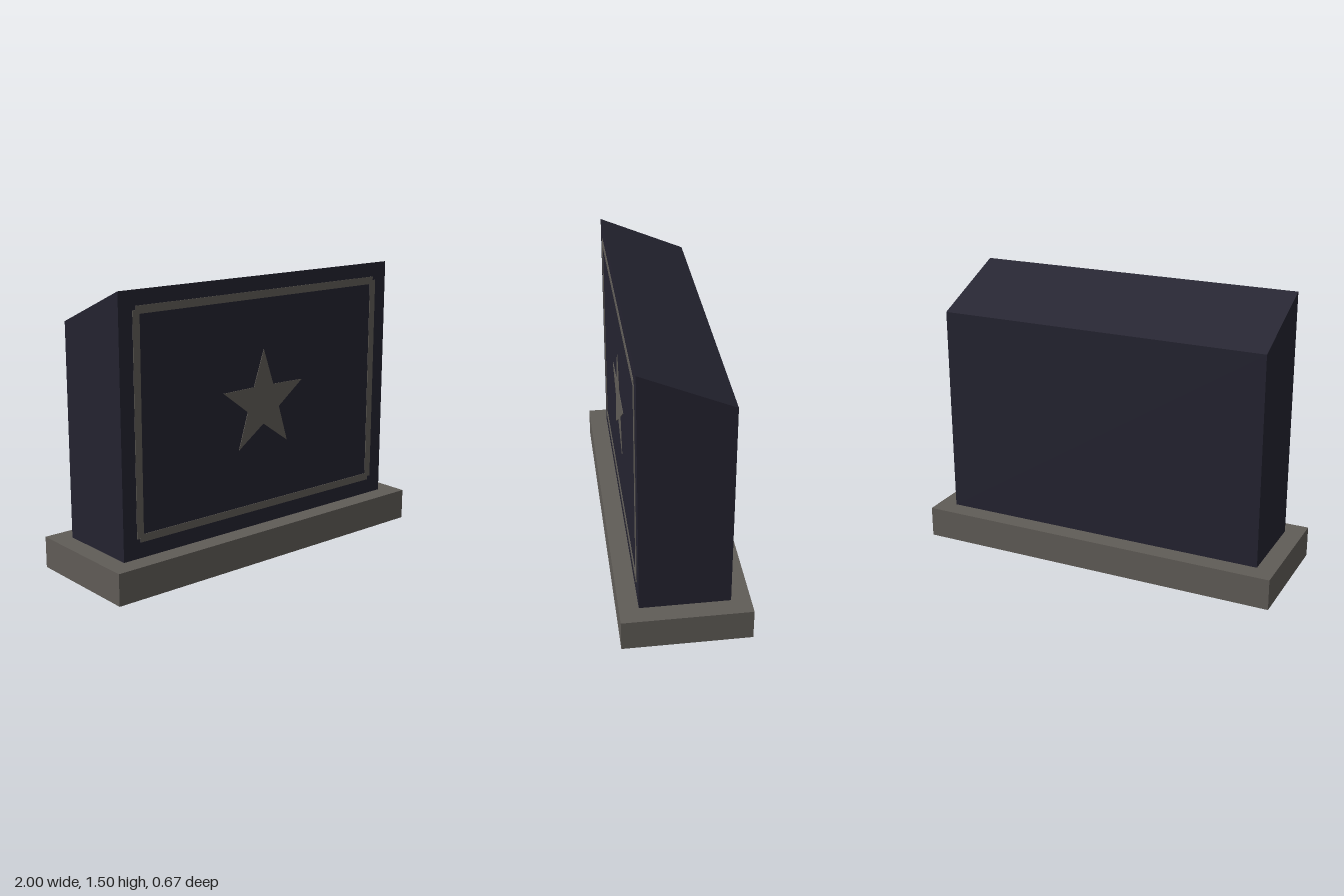
import * as THREE from 'three';

const stone = new THREE.MeshStandardMaterial({ color: 0x605c57, side: THREE.DoubleSide });
stone.name = 'warm grey stone';
const slate = new THREE.MeshStandardMaterial({ color: 0x242330 });
slate.name = 'dark slate';

function add(parent, name, geometry, material, x = 0, y = 0, z = 0) {
  const mesh = new THREE.Mesh(geometry, material);
  mesh.name = name;
  mesh.position.set(x, y, z);
  parent.add(mesh);
  return mesh;
}

export function createModel() {
  const model = new THREE.Group();
  model.name = 'monument';
  const baseH = 0.167, halfDepth = 0.233, inlay = 0.003;

  // Plinth: a hollow box, open underneath
  const plinth = new THREE.BoxGeometry(2, baseH, 0.667);
  const index = Array.from(plinth.index.array);
  index.splice(18, 6); // drop the bottom face
  plinth.setIndex(index);
  plinth.clearGroups();
  add(model, 'plinth', plinth, stone, 0, baseH / 2, 0);

  // Slab: side profile with a top sloping down to the back
  const profile = new THREE.Shape([
    new THREE.Vector2(-halfDepth, baseH + 0.001),
    new THREE.Vector2(halfDepth, baseH + 0.001),
    new THREE.Vector2(halfDepth, 1.3),
    new THREE.Vector2(-halfDepth, 1.5),
  ]);
  const slab = new THREE.ExtrudeGeometry(profile, { depth: 1.8, bevelEnabled: false });
  slab.translate(0, 0, -0.9).rotateY(Math.PI / 2);
  add(model, 'slab', slab, slate);

  // Border on the front: four strips with notched corners
  const border = new THREE.Group();
  border.name = 'border';
  border.position.z = halfDepth + inlay / 2;
  model.add(border);
  const low = 0.27, high = 1.403, side = 0.8, strip = 0.04;
  for (const y of [low, high]) {
    add(border, y === low ? 'borderBottom' : 'borderTop',
      new THREE.BoxGeometry(2 * side, strip, inlay), stone, 0, y, 0);
  }
  for (const s of [-1, 1]) {
    add(border, s > 0 ? 'borderLeft' : 'borderRight',
      new THREE.BoxGeometry(strip, high - low, inlay * 0.9), stone, s * side, (low + high) / 2, 0);
  }

  // Five-pointed star on the front
  const points = [];
  for (let i = 0; i < 10; i++) {
    const r = i % 2 ? 0.113 : 0.284;
    const a = Math.PI / 2 + (i * Math.PI) / 5;
    points.push(new THREE.Vector2(r * Math.cos(a), r * Math.sin(a)));
  }
  const star = new THREE.ExtrudeGeometry(new THREE.Shape(points), { depth: inlay, bevelEnabled: false });
  add(model, 'star', star, stone, 0, 0.832, halfDepth);

  return model;
}
